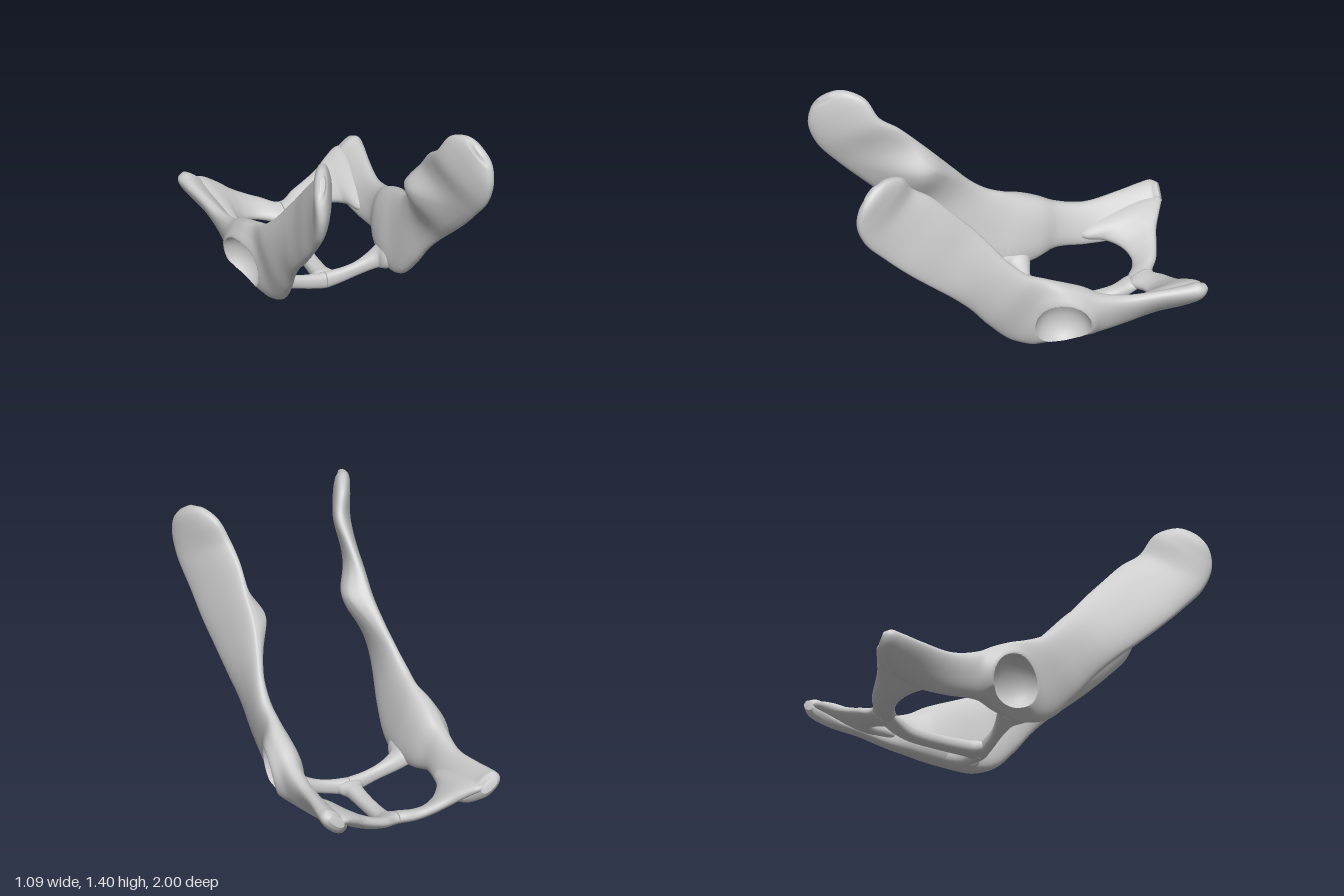
import * as THREE from 'three';

const material = new THREE.MeshStandardMaterial({ color: 0xcccccc });
const spow = (v, e) => Math.sign(v) * Math.abs(v) ** e;
const bell = (v, width) => Math.exp(-((v / width) ** 2));

// Closed loft. Each section: [edge A x,y,z, edge B x,y,z, thickness].
// sculpt(p, side) may move a vertex; side runs -1..1 across the thickness.
function loft(sections, { rows = 60, cols = 32, mirror = false, sculpt } = {}) {
  const curve = (f) => new THREE.CatmullRomCurve3(sections.map(f), false, 'centripetal');
  const edgeA = curve((s) => new THREE.Vector3(s[0], s[1], s[2]));
  const edgeB = curve((s) => new THREE.Vector3(s[3], s[4], s[5]));
  const thick = new THREE.CatmullRomCurve3(
    sections.map((s, i) => new THREE.Vector3(s[6], i, 0)), false, 'catmullrom', 0.5);
  const mid = (u) => edgeA.getPoint(u).add(edgeB.getPoint(u)).multiplyScalar(0.5);
  const pos = [], index = [];
  const add = (p) => pos.push(mirror ? -p.x : p.x, p.y, p.z);
  const tri = (a, b, c) => (mirror ? index.push(a, c, b) : index.push(a, b, c));

  for (let i = 0; i <= rows; i++) {
    const u = i / rows;
    const c = mid(u);
    const w = edgeB.getPoint(u).sub(c);
    const along = mid(Math.min(1, u + 0.01)).sub(mid(Math.max(0, u - 0.01)));
    const n = w.clone().cross(along).normalize().multiplyScalar(thick.getPoint(u).x / 2);
    for (let j = 0; j < cols; j++) {
      const a = (j / cols) * Math.PI * 2;
      const p = c.clone()
        .addScaledVector(w, spow(Math.cos(a), 0.9))
        .addScaledVector(n, spow(Math.sin(a), 0.8));
      if (sculpt) sculpt(p, Math.sin(a));
      add(p);
    }
  }
  for (let i = 0; i < rows; i++) {
    for (let j = 0; j < cols; j++) {
      const a = i * cols + j, b = i * cols + ((j + 1) % cols);
      tri(a, a + cols, b);
      tri(b, a + cols, b + cols);
    }
  }
  // End caps
  const first = pos.length / 3, last = first + 1, base = rows * cols;
  add(mid(0));
  add(mid(1));
  for (let j = 0; j < cols; j++) {
    const k = (j + 1) % cols;
    tri(first, j, k);
    tri(last, base + k, base + j);
  }
  const g = new THREE.BufferGeometry();
  g.setAttribute('position', new THREE.Float32BufferAttribute(pos, 3));
  g.setIndex(index);
  g.computeVertexNormals();
  return g;
}

// Long side bone: blade tip and shaft (lower edge, upper edge)
const blade = [
  [0.485, 1.34, 0.95, 0.455, 1.39, 0.89, 0.03],
  [0.51, 1.27, 0.985, 0.43, 1.405, 0.81, 0.075],
  [0.51, 1.17, 0.998, 0.38, 1.365, 0.71, 0.095],
  [0.50, 1.04, 0.95, 0.335, 1.25, 0.64, 0.095],
  [0.48, 0.90, 0.83, 0.33, 1.165, 0.53, 0.085],
  [0.468, 0.77, 0.70, 0.34, 1.04, 0.41, 0.08],
  [0.45, 0.66, 0.58, 0.345, 0.92, 0.30, 0.08],
  [0.43, 0.545, 0.45, 0.37, 0.80, 0.20, 0.085],
  [0.40, 0.42, 0.33, 0.405, 0.68, 0.10, 0.09],
];
// Socket region and rear bar
const rearBar = [
  [0.375, 0.28, 0.22, 0.425, 0.595, 0, 0.11],
  [0.355, 0.14, 0.08, 0.43, 0.55, -0.10, 0.12],
  [0.36, 0.09, -0.08, 0.45, 0.51, -0.20, 0.17],
  [0.38, 0.11, -0.24, 0.455, 0.465, -0.30, 0.17],
  [0.405, 0.145, -0.37, 0.46, 0.41, -0.40, 0.13],
  [0.37, 0.155, -0.55, 0.47, 0.37, -0.56, 0.10],
  [0.34, 0.18, -0.72, 0.50, 0.38, -0.75, 0.09],
  [0.36, 0.22, -0.87, 0.525, 0.395, -0.89, 0.10],
  [0.40, 0.28, -0.95, 0.53, 0.40, -0.955, 0.10],
  [0.42, 0.325, -0.99, 0.505, 0.39, -0.993, 0.05],
];

// Inner joint swelling on the blade, and the hollow hip socket with its rim
const socket = new THREE.Vector3(0.53, 0.255, -0.17);
const socketRadius = 0.16;
function sculptSide(p, side) {
  if (side > 0) {
    const dy = p.y - 0.88, dz = p.z - 0.43;
    const swell = bell(dy, dy > 0 ? 0.12 : 0.2) * bell(dz, dz > 0 ? 0.2 : 0.17);
    p.x -= 0.095 * swell * Math.min(1, side * 1.6);
    return;
  }
  const d = Math.hypot(p.y - socket.y, p.z - socket.z);
  const rearward = THREE.MathUtils.smoothstep(-p.z, 0, 0.3);
  p.x += 0.03 * bell(d - 0.165, 0.045) * -side * rearward;
  // Slope the underside inwards below the socket
  if (p.z > -0.4) p.x = Math.min(p.x, 0.37 + Math.max(0, p.y - 0.085) * 1.2);
  const r = p.distanceTo(socket);
  if (r < socketRadius) p.sub(socket).multiplyScalar(socketRadius / r).add(socket);
}

// Front bar, flaring from the midline out to the socket (bottom edge, top edge)
const frontBar = [
  [0.358, 0.125, -0.14, 0.358, 0.28, -0.11, 0.26],
  [0.34, 0.105, -0.145, 0.34, 0.245, -0.115, 0.235],
  [0.30, 0.08, -0.155, 0.30, 0.19, -0.14, 0.13],
  [0.25, 0.062, -0.155, 0.25, 0.155, -0.15, 0.085],
  [0.18, 0.042, -0.155, 0.18, 0.122, -0.152, 0.06],
  [0.10, 0.02, -0.157, 0.10, 0.102, -0.157, 0.06],
  [0.03, 0.004, -0.162, 0.03, 0.095, -0.162, 0.07],
  [0, 0.001, -0.162, 0, 0.093, -0.162, 0.07],
];

// Rear plate, from the rear corner to the midline (front edge, back edge)
const rearPlate = [
  [0.43, 0.25, -0.50, 0.45, 0.35, -0.975, 0.06],
  [0.355, 0.215, -0.52, 0.41, 0.345, -0.985, 0.085],
  [0.315, 0.20, -0.64, 0.34, 0.315, -0.955, 0.085],
  [0.25, 0.175, -0.72, 0.26, 0.27, -0.915, 0.075],
  [0.17, 0.15, -0.75, 0.17, 0.23, -0.89, 0.065],
  [0.10, 0.135, -0.735, 0.09, 0.20, -0.865, 0.065],
  [0.03, 0.12, -0.69, 0.03, 0.18, -0.828, 0.07],
  [0, 0.12, -0.69, 0, 0.178, -0.82, 0.07],
];

// Midline bar joining front and rear (bottom edge, top edge)
const midBar = [
  [0, 0.02, -0.16, 0, 0.075, -0.16, 0.14],
  [0, 0.006, -0.19, 0, 0.09, -0.19, 0.15],
  [0, 0.006, -0.24, 0, 0.09, -0.24, 0.1],
  [0, 0.012, -0.42, 0, 0.09, -0.42, 0.085],
  [0, 0.03, -0.60, 0, 0.11, -0.60, 0.09],
  [0, 0.065, -0.68, 0, 0.145, -0.68, 0.115],
  [0, 0.125, -0.75, 0, 0.155, -0.75, 0.13],
];

export function createModel() {
  const model = new THREE.Group();
  model.name = 'pelvis';
  const part = (name, geometry) => {
    const mesh = new THREE.Mesh(geometry, material);
    mesh.name = name;
    model.add(mesh);
  };
  const sideBone = [...blade, ...rearBar];
  for (const [label, mirror] of [['left', false], ['right', true]]) {
    part(label + 'HipBone', loft(sideBone, { rows: 200, cols: 80, mirror, sculpt: sculptSide }));
    part(label + 'FrontBar', loft(frontBar, { mirror }));
    part(label + 'RearPlate', loft(rearPlate, { mirror }));
  }
  part('midlineBar', loft(midBar));
  return model;
}
